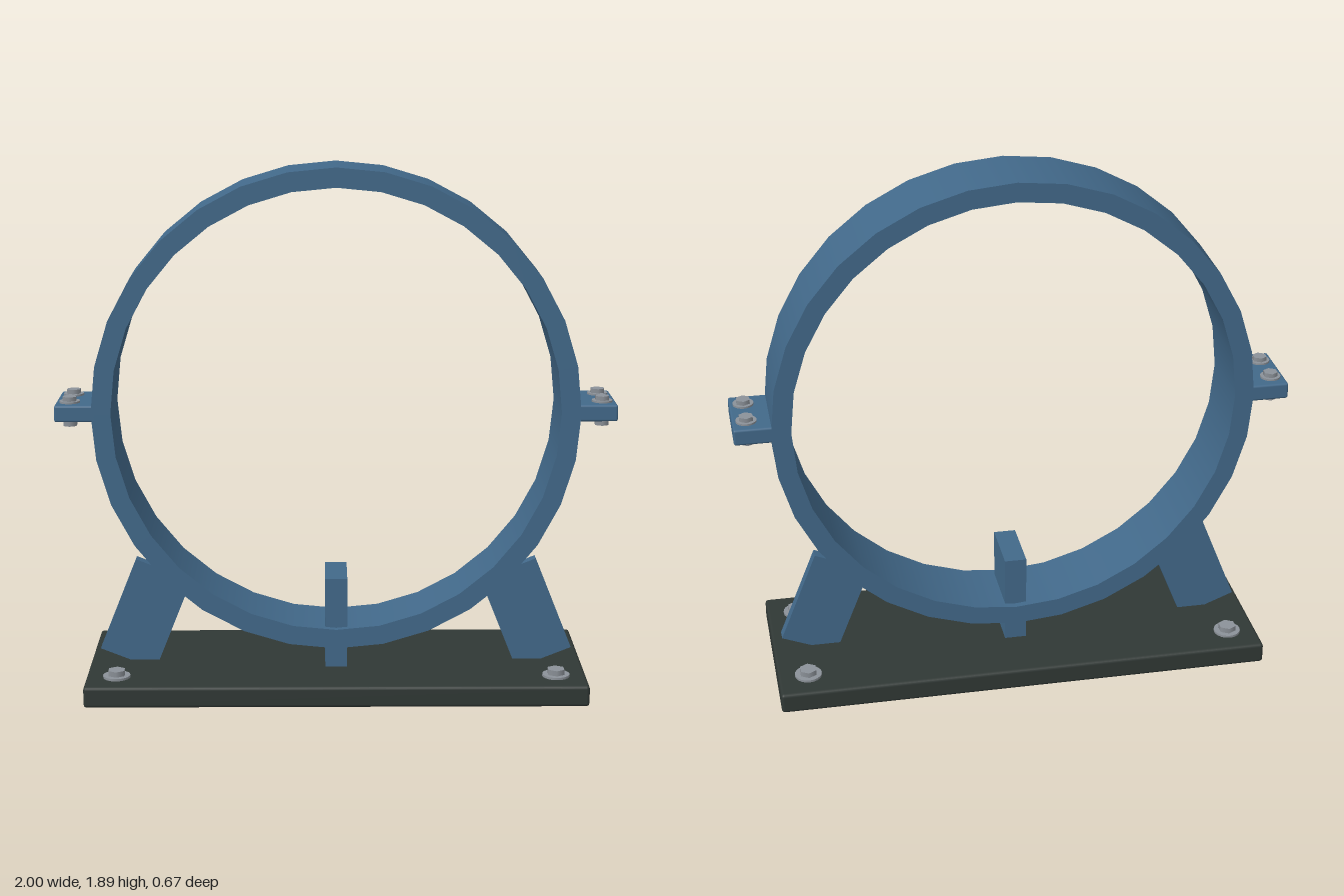
import * as THREE from 'three';
import { mergeGeometries } from 'three/addons/utils/BufferGeometryUtils.js';
import { RoundedBoxGeometry } from 'three/addons/geometries/RoundedBoxGeometry.js';

const blue = new THREE.MeshStandardMaterial({ color: 0x42698a });
blue.name = 'paintedBlue';
const dark = new THREE.MeshStandardMaterial({ color: 0x303835 });
dark.name = 'darkBase';
const steel = new THREE.MeshStandardMaterial({ color: 0x8c9299 });
steel.name = 'steel';

function add(parent, name, geometry, material, x = 0, y = 0, z = 0) {
  const mesh = new THREE.Mesh(geometry, material);
  mesh.name = name;
  mesh.position.set(x, y, z);
  parent.add(mesh);
  return mesh;
}

// Rectangular band: one lathe per profile edge keeps the rims sharp
function bandGeometry(inner, outer, half) {
  const corners = [[outer, -half], [outer, half], [inner, half], [inner, -half]]
    .map(([r, h]) => new THREE.Vector2(r, h));
  const sides = corners.map((c, i) => new THREE.LatheGeometry([c, corners[(i + 1) % 4]], 32));
  return mergeGeometries(sides).rotateX(Math.PI / 2);
}

// Washer with a hexagonal head, standing on y = 0
function makeBolt(name, washerRadius, headRadius, height) {
  const bolt = new THREE.Group();
  bolt.name = name;
  const thick = height * 0.3;
  add(bolt, 'washer', new THREE.CylinderGeometry(washerRadius, washerRadius, thick, 20), steel, 0, thick / 2);
  const head = new THREE.CylinderGeometry(headRadius, headRadius, height, 6);
  add(bolt, 'hexHead', head, steel, 0, height / 2);
  return bolt;
}

export function createModel() {
  const model = new THREE.Group();
  model.name = 'pipeClampStand';

  // Base plate and clamp ring
  add(model, 'basePlate', new RoundedBoxGeometry(1.8, 0.077, 0.67, 2, 0.012), dark, 0, 0.0385);
  add(model, 'clampRing', bandGeometry(0.8, 0.87, 0.135), blue, 0, 1.025);

  // Upright block through the bottom of the ring
  add(model, 'centreSupport', new THREE.BoxGeometry(0.08, 0.345, 0.22), blue, 0, 0.2375);

  for (const side of [-1, 1]) {
    // Slanted leg
    const leg = add(model, 'slantedLeg', new THREE.BoxGeometry(0.216, 0.366, 0.044), blue, side * 0.6975, 0.25);
    leg.rotation.z = side * 0.38;

    // Side flange
    add(model, 'flange', new RoundedBoxGeometry(0.15, 0.06, 0.27, 2, 0.008), blue, side * 0.925, 1.025);

    for (const end of [-1, 1]) {
      // Flange bolt above and nut below
      const bolt = makeBolt('flangeBolt', 0.037, 0.027, 0.022);
      bolt.position.set(side * 0.95, 1.055, end * 0.068);
      model.add(bolt);
      const nut = makeBolt('flangeNut', 0.03, 0.027, 0.024);
      nut.position.set(side * 0.95, 0.995, end * 0.068);
      nut.rotation.x = Math.PI;
      model.add(nut);

      // Base anchor bolt
      const anchor = makeBolt('anchorBolt', 0.049, 0.033, 0.028);
      anchor.position.set(side * 0.79, 0.077, end * 0.218);
      model.add(anchor);
    }
  }
  return model;
}
